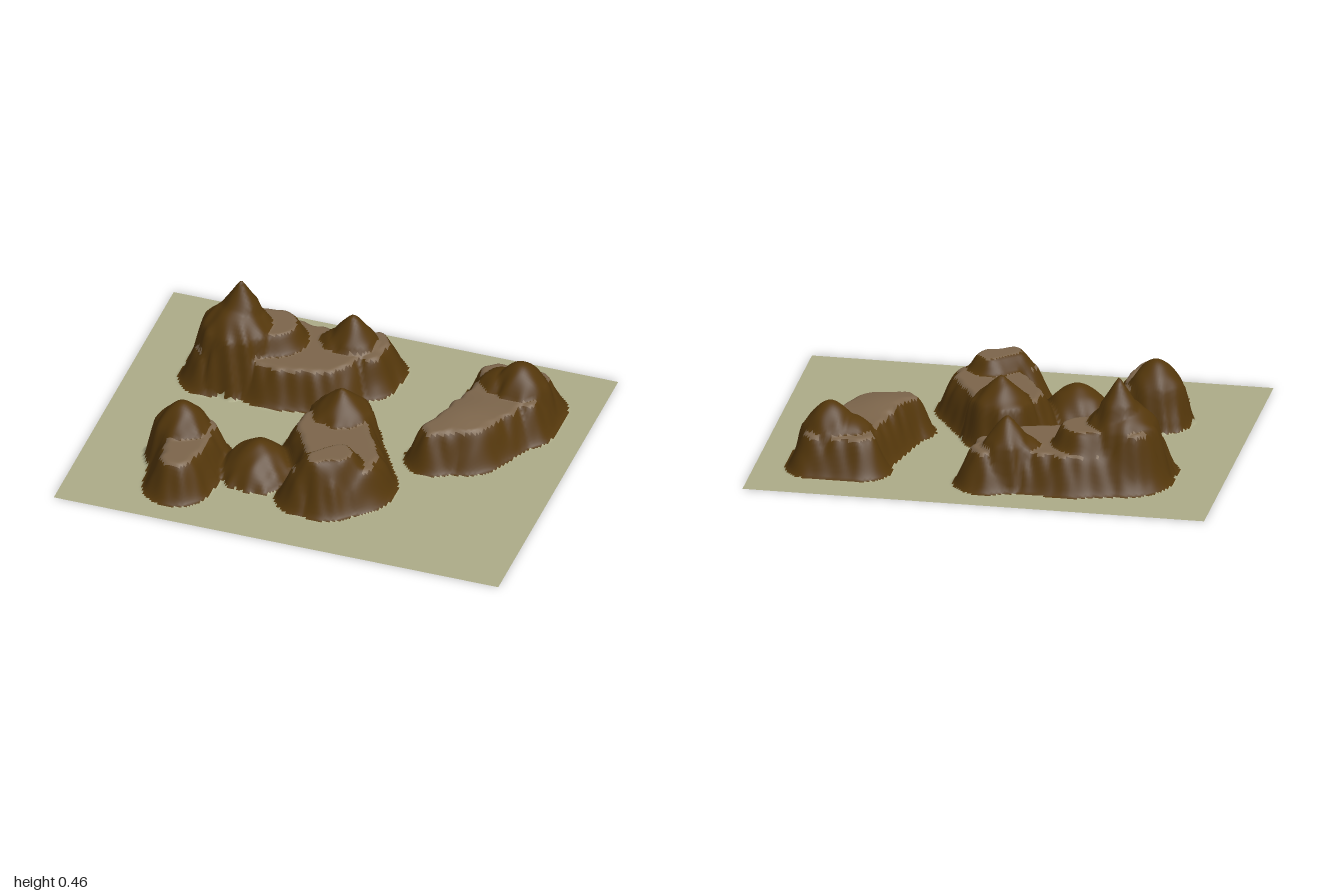
import * as THREE from 'three';

const WIDTH = 2, DEPTH = 1.57, NX = 190, NZ = 150;
const PLATEAU = 0.165;

// Mesas and tiers follow a spine of [x, z, radius]; peaks are round bumps
const peak = (x, z, top, base, radius, power) => ({ x, z, top, base, radius, power });

const backRidge = {
  name: 'backRidge',
  mesa: [[-.65, -.25, .14], [-.57, -.37, .22], [-.36, -.375, .265], [-.2, -.385, .245], [-.01, -.52, .15], [0, -.43, .13]],
  tier: { top: .25, spine: [[-.62, -.42, .12], [-.57, -.34, .16], [-.41, -.4, .145]] },
  peaks: [
    peak(-.55, -.36, .465, .34, .078, 1), // spire
    peak(-.56, -.34, .36, .24, .155, 1.9), // shoulder below the spire
    peak(-.09, -.485, .302, .18, .1, 1.3),
    peak(-.14, -.47, .205, .165, .09, 2.5)
  ]
};
const frontWestMesa = {
  name: 'frontWestMesa',
  mesa: [[-.6, .3, .14], [-.5, .3, .14], [-.53, .42, .17], [-.53, .54, .15]],
  peaks: [peak(-.58, .32, .283, .165, .12, 1.7)]
};
const saddleHill = {
  name: 'saddleHill',
  peaks: [peak(-.24, .31, .15, 0, .18, 1.6)]
};
const centralMesa = {
  name: 'centralMesa',
  mesa: [[.05, -.02, .145], [.03, .13, .235], [.14, .3, .23], [.1, .41, .175], [.02, .44, .14]],
  tier: { top: .23, spine: [[.06, .44, .09], [.14, .38, .11]] },
  peaks: [peak(.03, .01, .287, .165, .13, 1.1)]
};
const eastMesa = {
  name: 'eastMesa',
  mesa: [[.44, 0, .13], [.55, -.11, .19], [.64, -.38, .22], [.55, -.48, .14], [.74, -.49, .13], [.74, -.32, .13]],
  swell: { x: .52, z: -.12, radius: .22, rise: .025 },
  peaks: [peak(.69, -.41, .283, .165, .12, 1.8), peak(.61, -.41, .22, .165, .1, 2.2)]
};
const massifs = [backRidge, frontWestMesa, saddleHill, centralMesa, eastMesa];

// How far a point lies inside the rounded band around a spine
function depthInside(x, z, spine) {
  let depth = 0;
  for (let i = 1; i < spine.length; i++) {
    const [ax, az, ar] = spine[i - 1], [bx, bz, br] = spine[i];
    const dx = bx - ax, dz = bz - az;
    const t = THREE.MathUtils.clamp(((x - ax) * dx + (z - az) * dz) / (dx * dx + dz * dz), 0, 1);
    depth = Math.max(depth, ar + (br - ar) * t - Math.hypot(x - ax - t * dx, z - az - t * dz));
  }
  return depth;
}

// Cliff rising steeply from the foot and easing into the flat top
const cliff = t => Math.sin(Math.min(t, 1) * Math.PI / 2) ** 1.6;

// Height of one massif and whether the spot lies on a flat top
function sample({ mesa, tier, swell, peaks }, x, z) {
  const gully = 0.05 * (Math.sin(x * 71 + 3 * Math.sin(z * 17)) + Math.sin(z * 63 + 3 * Math.sin(x * 19)));
  let height = 0, flat = false;
  if (mesa) {
    const t = depthInside(x, z, mesa) * (1 + gully) / 0.1;
    height = PLATEAU * cliff(t);
    flat = t > 0.82;
  }
  if (tier) {
    const t = depthInside(x, z, tier.spine) * (1 + gully) / 0.06;
    height += (tier.top - PLATEAU) * cliff(t);
    if (t > 0 && t < 0.85) flat = false;
  }
  if (swell) {
    const r = Math.min(Math.hypot(x - swell.x, z - swell.z) / swell.radius, 1);
    height += swell.rise * Math.cos(r * Math.PI / 2) ** 2 * height / PLATEAU;
  }
  for (const p of peaks) {
    const r = Math.hypot(x - p.x, z - p.z) * (1 + 0.5 * gully);
    // Past its own radius a peak drops off steeply
    const h = r < p.radius
      ? p.base + (p.top - p.base) * (1 - (r / p.radius) ** p.power)
      : p.base - (r - p.radius) * 4;
    if (h > height) { height = h; flat = false; }
  }
  return { height, flat };
}

// The tallest massif at a spot
function highest(x, z) {
  let best = { height: 0, flat: false, name: null };
  for (const massif of massifs) {
    const spot = sample(massif, x, z);
    if (spot.height > best.height) best = { ...spot, name: massif.name };
  }
  return best;
}

export function createModel() {
  const model = new THREE.Group();
  const material = (name, color) => {
    const m = new THREE.MeshStandardMaterial({ color, side: THREE.DoubleSide });
    m.name = name;
    return m;
  };
  const sand = material('drySand', 0xacab88);
  const rock = material('brownRock', 0x54370b);
  const plateau = material('tanPlateau', 0x7c654b);

  // Height grid over the whole landscape
  const terrain = new THREE.PlaneGeometry(WIDTH, DEPTH, NX, NZ).rotateX(-Math.PI / 2);
  const position = terrain.attributes.position;
  for (let v = 0; v < position.count; v++) {
    position.setY(v, highest(position.getX(v), position.getZ(v)).height);
  }
  terrain.computeVertexNormals();

  // Sort the grid cells into ground, cliffs and flat tops
  const parts = new Map();
  const corners = terrain.index.array;
  for (let k = 0; k < corners.length; k += 6) {
    const cell = Array.from(corners.slice(k, k + 6));
    const mean = axis => cell.reduce((sum, v) => sum + position.getComponent(v, axis), 0) / 6;
    const raised = cell.some(v => position.getY(v) > 0.002);
    const spot = highest(mean(0), mean(2));
    let name = 'ground', mat = sand;
    if (raised && spot.name) {
      name = spot.name + (spot.flat ? 'Top' : 'Cliffs');
      mat = spot.flat ? plateau : rock;
    }
    if (!parts.has(name)) parts.set(name, { mat, cells: [] });
    parts.get(name).cells.push(...cell);
  }

  // Every part keeps the shared smooth normals, so seams do not show
  for (const [name, { mat, cells }] of parts) {
    const piece = terrain.clone().setIndex(cells).toNonIndexed();
    const mesh = new THREE.Mesh(piece, mat);
    mesh.name = name;
    model.add(mesh);
  }
  return model;
}
